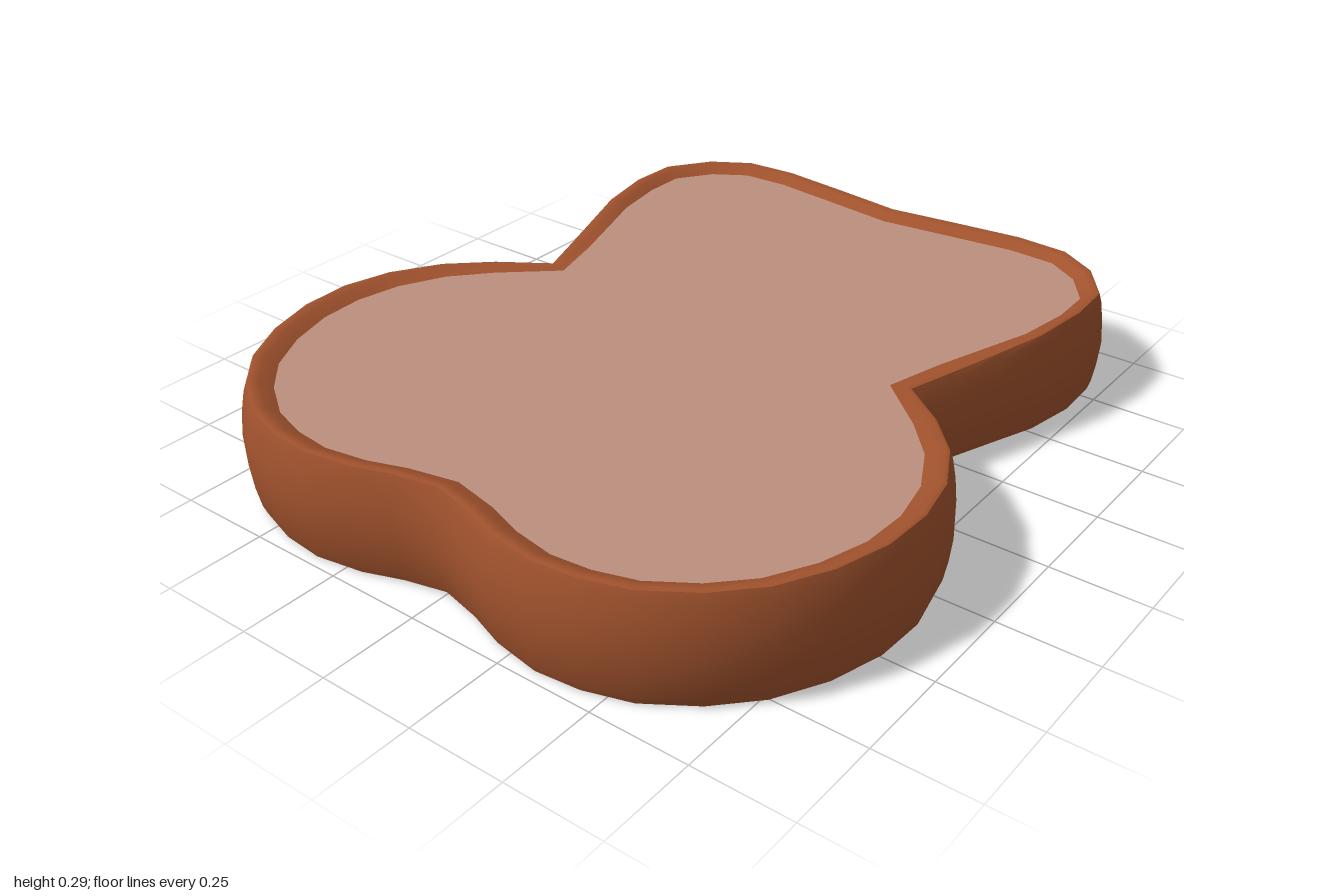
import * as THREE from 'three';
import { toCreasedNormals } from 'three/addons/utils/BufferGeometryUtils.js';

const MID = 0.143;        // height of the middle plane
const PLATE_HALF = 0.118; // half thickness between the two plates

// Half of the outline [x, z], from the back notch to the front notch
const HALF = [
  [0, -0.955], [0.19, -0.978], [0.38, -1], [0.53, -0.99], [0.645, -0.92], [0.73, -0.8],
  [0.738, -0.66], [0.715, -0.5], [0.67, -0.36], [0.625, -0.22], [0.585, -0.11],
  [0.7, -0.025], [0.8, 0.085], [0.87, 0.22], [0.9, 0.36], [0.895, 0.5], [0.855, 0.64],
  [0.785, 0.77], [0.69, 0.87], [0.57, 0.95], [0.45, 0.988], [0.33, 1], [0.2, 0.978],
  [0.1, 0.943], [0, 0.92],
];

// Rim section: [inset share, height share]; 'plate' rows meet the plates
const UPPER = [[0, 0], [0.08, 0.45], [0.2, 0.82], [0.3, 0.98], [0.4, 1], [0.65, 0.95]];
const SECTION = [
  [1, -1, true],
  ...UPPER.slice(1).reverse().map(([i, h]) => [i, -h]),
  ...UPPER,
  [1, 1, true],
];

function outline() {
  const mirrored = HALF.slice(1, -1).reverse().map(([x, z]) => [-x, z]);
  return [...HALF, ...mirrored].map(([x, z]) => new THREE.Vector2(x, z));
}

// Moves every point inward by a share of the rim width
function inset(points, share) {
  const n = points.length;
  return points.map((p, i) => {
    const a = p.clone().sub(points[(i + n - 1) % n]).normalize();
    const b = points[(i + 1) % n].clone().sub(p).normalize();
    const t = a.add(b).normalize();
    const width = (0.077 + 0.0115 * p.y) * share;
    return new THREE.Vector2(p.x - t.y * width, p.y + t.x * width);
  });
}

// The rim grows slightly thinner towards the waist
function halfHeight(p) {
  return 0.121 + 0.022 * THREE.MathUtils.clamp((p.length() - 0.59) / 0.38, 0, 1);
}

function rimGeometry(points) {
  const n = points.length;
  const positions = [], index = [];
  SECTION.forEach(([share, h, plate]) => {
    inset(points, share).forEach((q, i) => {
      const half = plate ? PLATE_HALF : halfHeight(points[i]);
      positions.push(q.x, MID + h * half, q.y);
    });
  });
  for (let r = 0; r < SECTION.length - 1; r++) {
    for (let i = 0; i < n; i++) {
      const a = r * n + i, b = r * n + (i + 1) % n;
      index.push(a, a + n, b, b, a + n, b + n);
    }
  }
  const geometry = new THREE.BufferGeometry();
  geometry.setAttribute('position', new THREE.Float32BufferAttribute(positions, 3));
  geometry.setIndex(index);
  return toCreasedNormals(geometry, 0.85);
}

export function createModel() {
  const group = new THREE.Group();
  const points = outline();

  // Rounded rim
  const rim = new THREE.Mesh(
    rimGeometry(points),
    new THREE.MeshStandardMaterial({ color: 0xa0522d, side: THREE.DoubleSide }),
  );
  rim.name = 'rim';
  group.add(rim);

  // Flat plates closing the top and bottom
  const plateMaterial = new THREE.MeshStandardMaterial({ color: 0xbc8f7f });
  const inner = inset(points, 1);
  for (const side of [1, -1]) {
    const shape = new THREE.Shape(inner.map((p) => new THREE.Vector2(p.x, -side * p.y)));
    const plate = new THREE.Mesh(new THREE.ShapeGeometry(shape), plateMaterial);
    plate.rotation.x = -side * Math.PI / 2;
    plate.position.y = MID + side * PLATE_HALF;
    plate.name = side > 0 ? 'topPlate' : 'bottomPlate';
    group.add(plate);
  }
  return group;
}
